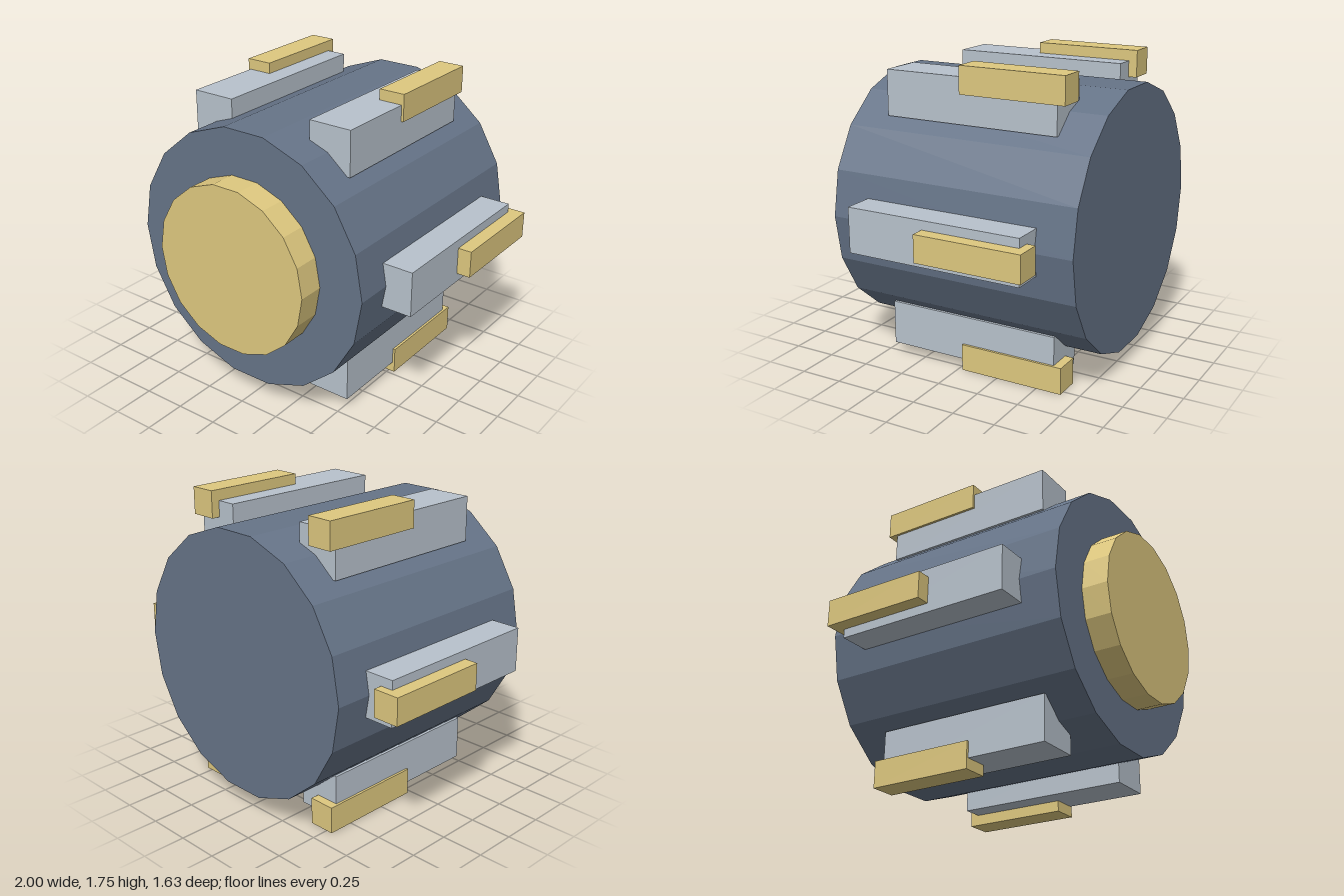
import * as THREE from 'three';

export function createModel() {
  const group = new THREE.Group();
  const mat = (color) => new THREE.MeshStandardMaterial({ color, flatShading: true });
  const slate = mat(0x667488), silver = mat(0xb8c2cc), gold = mat(0xdec87f);
  const axisY = 0.88;

  // Faceted drum lying along z, with a corner on the x axis
  function drum(name, radius, z0, z1, material) {
    const geo = new THREE.CylinderGeometry(radius, radius, z1 - z0, 18, 1, false, Math.PI / 2);
    geo.rotateX(Math.PI / 2);
    const mesh = new THREE.Mesh(geo, material);
    mesh.name = name;
    mesh.position.set(0, axisY, (z0 + z1) / 2);
    group.add(mesh);
  }

  // Upright square bar parallel to z, placed around the drum
  function bar(name, angle, distance, size, z0, z1, material) {
    const mesh = new THREE.Mesh(new THREE.BoxGeometry(size, size, z1 - z0), material);
    mesh.name = name;
    mesh.position.set(
      Math.cos(angle) * distance,
      axisY + Math.sin(angle) * distance,
      (z0 + z1) / 2
    );
    group.add(mesh);
  }

  drum('body', 0.763, -0.817, 0.664, slate);
  drum('frontCap', 0.496, 0.664, 0.817, gold);

  // Six ribs, each with a smaller gold bar towards the back
  for (let i = 0; i < 6; i++) {
    const angle = (i * Math.PI) / 3;
    bar('rib' + (i + 1), angle, 0.79, 0.26, -0.6, 0.445, silver);
    bar('ribBar' + (i + 1), angle, 0.922, 0.156, -0.65, -0.025, gold);
  }
  return group;
}
